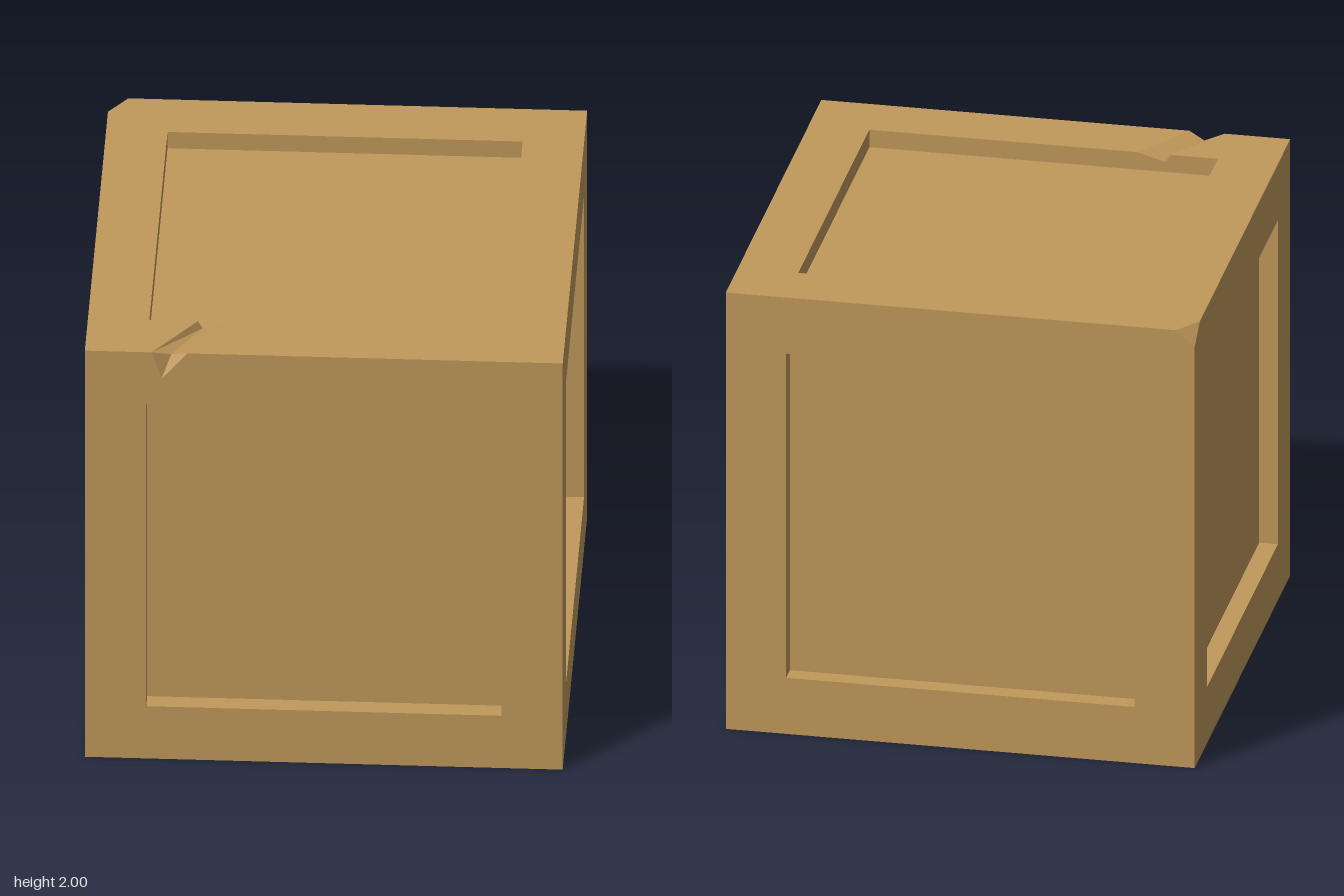
import * as THREE from 'three';

const H = 0.743;      // half size of the sunken panels
const DEPTH = 0.08;   // how far the panels are sunken
const V = (x, y, z) => new THREE.Vector3(x, y, z);
const shapeOf = (pts) => new THREE.Shape(pts.map(([x, y]) => new THREE.Vector2(x, y)));
const square = (s) => [[-s, -s], [s, -s], [s, s], [-s, s]];

export function createModel() {
  const wood = new THREE.MeshStandardMaterial({ color: 0xc0985b });
  wood.name = 'wood';
  const crate = new THREE.Group();
  crate.name = 'crate';
  crate.position.y = 1;

  const add = (parent, name, geometry) => {
    const mesh = new THREE.Mesh(geometry, wood);
    mesh.name = name;
    parent.add(mesh);
    return mesh;
  };

  // One side of the crate: flat rim, four recess walls and the sunken panel
  function addSide(name, up, normal, rim, notchedWall) {
    const side = new THREE.Group();
    side.name = name;
    const across = up.clone().cross(normal);
    side.setRotationFromMatrix(new THREE.Matrix4().makeBasis(across, up, normal));
    side.position.copy(normal);
    crate.add(side);

    add(side, 'rim', new THREE.ShapeGeometry(rim));
    add(side, 'panel', new THREE.ShapeGeometry(shapeOf(square(H)))).position.z = -DEPTH;
    for (let k = 0; k < 4; k++) {
      const top = k === 0 && notchedWall ? notchedWall : [];
      const wall = shapeOf([[-H, 0], ...top, [H, 0], [H, DEPTH], [-H, DEPTH]]);
      const geometry = new THREE.ShapeGeometry(wall);
      geometry.rotateX(-Math.PI / 2).translate(0, -H, 0).rotateZ(k * Math.PI / 2);
      add(side, 'recessWall', geometry);
    }
  }

  // Rim outline with the square panel opening
  const rimWithHole = (outline) => {
    const rim = shapeOf(outline);
    rim.holes.push(shapeOf(square(H).reverse()));
    return rim;
  };

  const X = V(1, 0, 0), Y = V(0, 1, 0), Z = V(0, 0, 1);
  const neg = (v) => v.clone().negate();

  addSide('leftSide', Y, X, rimWithHole(square(1)));
  addSide('bottomSide', Z, neg(Y), rimWithHole(square(1)));
  addSide('rightSide', Y, neg(X),
    rimWithHole([[-1, -1], [1, -1], [1, 1], [-0.89, 1], [-1, 0.93]]));
  addSide('backSide', Y, neg(Z),
    rimWithHole([[-1, -1], [1, -1], [1, 0.93], [0.92, 1], [-1, 1]]));
  addSide('frontSide', Y, Z,
    rimWithHole([[-1, -1], [1, -1], [1, 1], [-0.57, 1], [-0.68, 0.87], [-0.72, 1], [-1, 1]]));
  // The top rim is cut through by the gouge
  addSide('topSide', neg(Z), Y, shapeOf([
    [-0.57, -1], [1, -1], [1, 1], [-0.92, 1], [-1, 0.89], [-1, -1], [-0.72, -1],
    [-0.54, -H], [-H, -H], [-H, H], [H, H], [H, -H], [-0.4, -H],
  ]), [[-0.54, 0], [-0.52, 0.035], [-0.4, 0]]);

  // Flat facet through three or four corners
  function addFacet(name, ...corners) {
    const pts = [];
    for (let i = 1; i < corners.length - 1; i++) pts.push(corners[0], corners[i], corners[i + 1]);
    const geometry = new THREE.BufferGeometry().setFromPoints(pts);
    geometry.computeVertexNormals();
    add(crate, name, geometry);
  }

  // Gouge across the front of the top rim
  const rimLeft = V(-0.72, 1, 1), rimRight = V(-0.57, 1, 1), low = V(-0.68, 0.87, 1);
  const valley = V(-0.64, 0.975, 0.97), valleyEnd = V(-0.52, 0.965, H);
  addFacet('gougeSteepSide', rimLeft, valley, valleyEnd, V(-0.54, 1, H));
  addFacet('gougeShallowSide', valley, rimRight, V(-0.4, 1, H), valleyEnd);
  addFacet('gougeFrontChip', rimLeft, low, valley);
  addFacet('gougeFrontChip', low, rimRight, valley);

  // Broken corner at the back
  addFacet('chippedCorner', V(-0.92, 1, -1), V(-1, 0.93, -1), V(-1, 1, -0.89));

  const model = new THREE.Group();
  model.name = 'woodenCrate';
  model.add(crate);
  return model;
}
